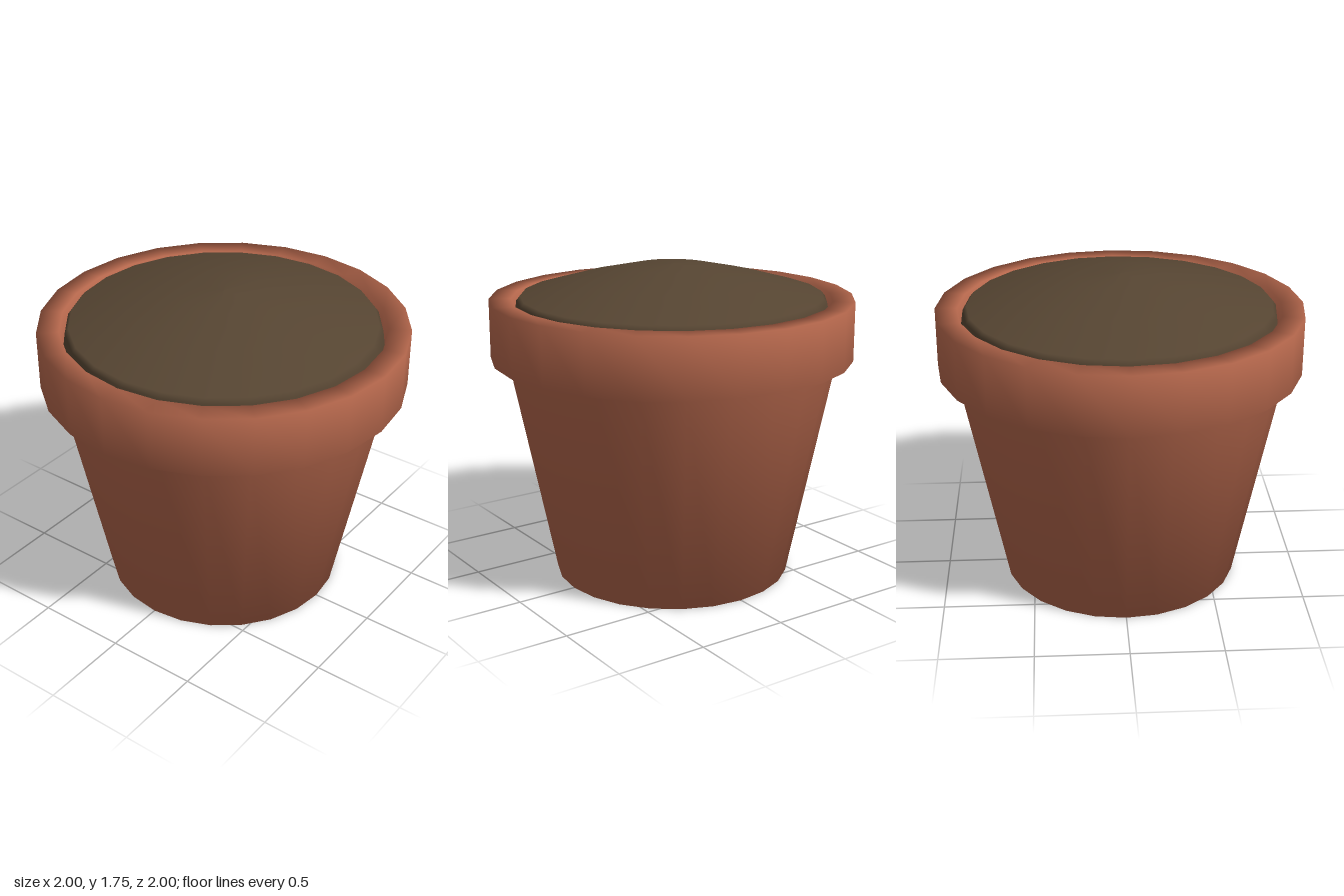
import * as THREE from 'three';

const SIDES = 24;

// Turns a profile of [radius, height] pairs around the y axis
function turned(name, profile, material) {
  const points = profile.map(([r, y]) => new THREE.Vector2(r, y));
  const mesh = new THREE.Mesh(new THREE.LatheGeometry(points, SIDES), material);
  mesh.name = name;
  return mesh;
}

export function createModel() {
  const terracotta = new THREE.MeshStandardMaterial({ color: 0xb5674c });
  terracotta.name = 'terracotta';
  const earth = new THREE.MeshStandardMaterial({ color: 0x564532 });
  earth.name = 'earth';

  const model = new THREE.Group();
  model.name = 'flowerPot';

  // Base, tapered wall, thick collar and inner lip, shaded smoothly as one piece
  model.add(turned('pot', [
    [0, 0], [0.66, 0], [0.91, 1.245], [1, 1.245],
    [1, 1.57], [0.88, 1.57], [0.855, 1.4],
  ], terracotta));

  // Mounded soil, its edge tucked down inside the lip
  model.add(turned('soil', [
    [0.865, 1.46], [0.85, 1.56], [0.83, 1.585],
    [0.53, 1.67], [0.24, 1.735], [0, 1.75],
  ], earth));

  return model;
}
